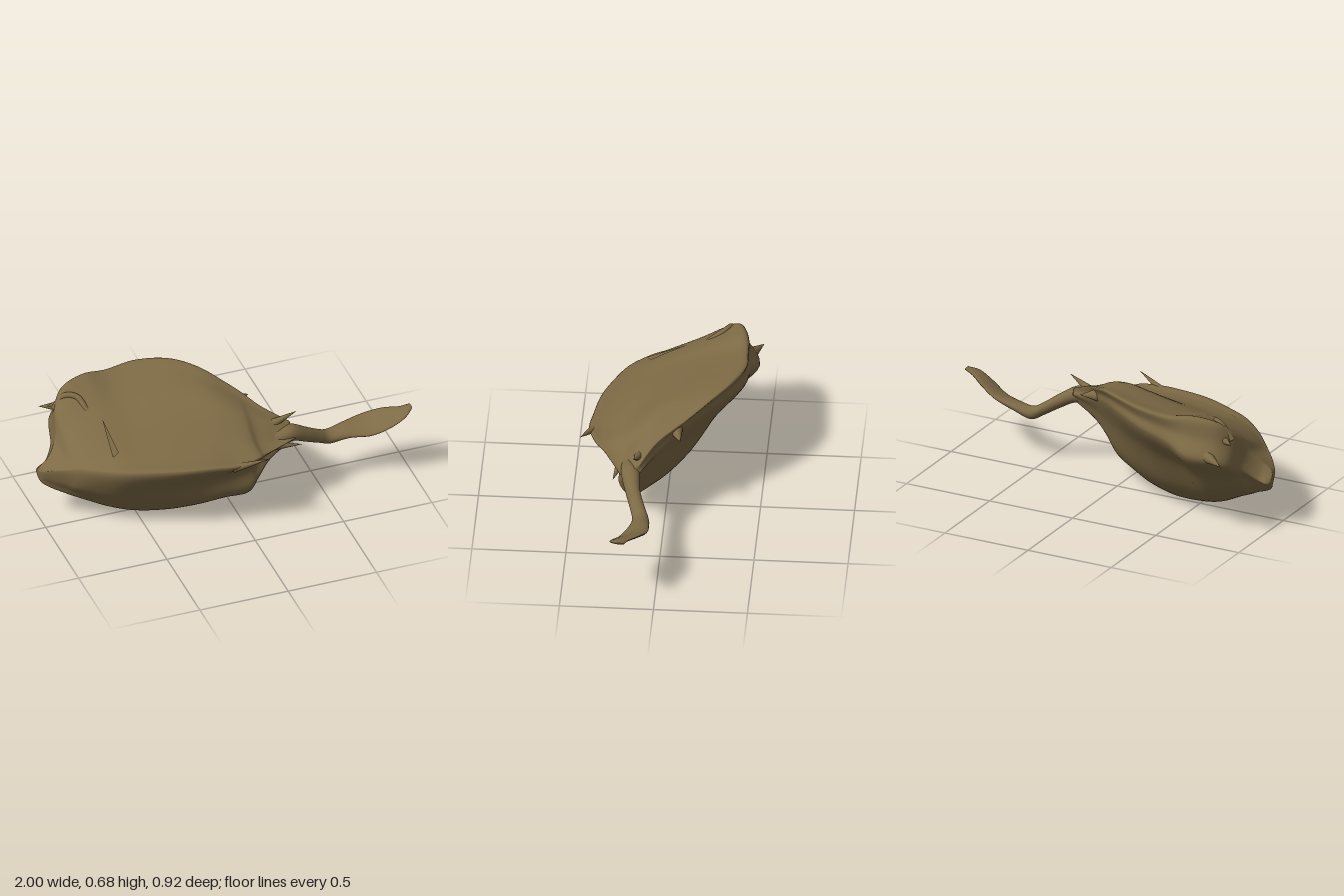
import * as THREE from 'three';

const V = (x, y, z) => new THREE.Vector3(x, y, z);
const hide = new THREE.MeshStandardMaterial({ color: 0x7d6a45, side: THREE.DoubleSide });
hide.name = 'driedHide';

// Skin over matching rings of points, smoothed lengthwise and capped at both ends
function loft(rings, steps) {
  const n = rings[0].length;
  const lines = rings[0].map((_, j) => new THREE.CatmullRomCurve3(rings.map(r => r[j])));
  const pos = [], index = [];
  for (let i = 0; i <= steps; i++) {
    for (const line of lines) pos.push(...line.getPoint(i / steps).toArray());
  }
  for (let i = 0; i < steps; i++) {
    for (let j = 0; j < n; j++) {
      const k = (j + 1) % n, a = i * n + j, c = i * n + k;
      index.push(a, a + n, c, a + n, c + n, c);
    }
  }
  [rings[0], rings[rings.length - 1]].forEach((ring, end) => {
    const mid = ring.reduce((s, p) => s.add(p), V(0, 0, 0)).divideScalar(n);
    const m = pos.length / 3, o = end * steps * n;
    pos.push(mid.x, mid.y, mid.z);
    for (let j = 0; j < n; j++) {
      const a = o + j, b = o + (j + 1) % n;
      index.push(m, end ? b : a, end ? a : b);
    }
  });
  const g = new THREE.BufferGeometry();
  g.setAttribute('position', new THREE.Float32BufferAttribute(pos, 3));
  g.setIndex(index);
  g.computeVertexNormals();
  return g;
}

// Triangular section from its front ridge, top, rear ridge and keel
function bodyRing([x, az, ay, tz, ty, rz, ry, bz, by]) {
  const A = V(x, ay, az), T = V(x, ty, tz), R = V(x, ry, rz), B = V(x, by, bz);
  const s = Math.min(1, A.distanceTo(T) / 0.7);
  // the back sags and swells more toward the tail, the front side goes from full to hollow
  const sag = THREE.MathUtils.clamp(1 + x / 0.8, 0, 1);
  const full = THREE.MathUtils.clamp(-0.03 - 0.1 * x, -0.035, 0.035) * Math.min(1, 2 * s) / s;
  const between = (p, q, t, dy, dz) => p.clone().lerp(q, t).add(V(0, dy * s, dz * s));
  const pts = [
    A, between(A, T, 0.12, -0.024 * sag, 0), between(A, T, 0.26, -0.037 * sag, 0),
    between(A, T, 0.58, 0.035 * sag, 0), between(A, T, 0.85, 0.012, 0), T,
    between(T, R, 0.5, 0, 0.012), R, between(R, B, 0.35, -0.008, -0.008),
    between(R, B, 0.72, -0.04, -0.028),
    B, between(B, A, 0.25, -0.024, 0.018), between(B, A, 0.55, -full * 0.4, full),
  ];
  const curve = new THREE.CatmullRomCurve3(pts, true);
  return Array.from({ length: pts.length * 6 }, (_, i) => curve.getPoint(i / (pts.length * 6)));
}

// Flattened oval section: centre, half depth, half height, slope across the depth
function ovalRing([x, z, y, hz, hy, slope]) {
  return Array.from({ length: 24 }, (_, j) => {
    const a = (j / 24) * Math.PI * 2, dz = hz * Math.cos(a);
    return V(x, y + hy * Math.sin(a) - slope * dz, z + dz);
  });
}

export function createModel() {
  const model = new THREE.Group();
  const add = (name, geometry) => {
    const mesh = new THREE.Mesh(geometry, hide);
    mesh.name = name;
    model.add(mesh);
    return mesh;
  };

  // Body shell, snout to tail root: x, then z and y of each corner
  const body = [
    [-1.0, -0.1, 0.295, -0.12, 0.305, -0.15, 0.27, -0.12, 0.25],
    [-0.985, -0.065, 0.312, -0.11, 0.328, -0.17, 0.27, -0.105, 0.22],
    [-0.94, -0.01, 0.345, -0.12, 0.365, -0.18, 0.29, -0.08, 0.19],
    [-0.885, 0.045, 0.37, -0.17, 0.43, -0.24, 0.35, -0.055, 0.165],
    [-0.845, 0.085, 0.385, -0.28, 0.565, -0.37, 0.42, -0.045, 0.145],
    [-0.78, 0.15, 0.4, -0.34, 0.635, -0.42, 0.445, -0.03, 0.115],
    [-0.65, 0.25, 0.42, -0.38, 0.66, -0.45, 0.46, -0.01, 0.052],
    [-0.52, 0.31, 0.43, -0.395, 0.645, -0.412, 0.5, 0.02, 0.015],
    [-0.35, 0.37, 0.437, -0.4, 0.663, -0.395, 0.545, 0.05, 0.0],
    [-0.18, 0.4, 0.437, -0.34, 0.672, -0.32, 0.57, 0.09, 0.02],
    [-0.05, 0.415, 0.432, -0.245, 0.65, -0.21, 0.555, 0.13, 0.058],
    [0.075, 0.375, 0.432, -0.115, 0.592, -0.085, 0.515, 0.183, 0.093],
    [0.12, 0.33, 0.41, -0.06, 0.57, -0.035, 0.49, 0.185, 0.16],
    [0.2, 0.285, 0.4, 0.04, 0.52, 0.045, 0.445, 0.17, 0.27],
    [0.33, 0.225, 0.4, 0.13, 0.45, 0.115, 0.42, 0.17, 0.355],
  ];
  add('body', loft(body.map(bodyRing), 140));

  // Tail stalk spreading into a thin, tilted fin
  const tail = [
    [0.12, 0.17, 0.375, 0.035, 0.035, 0], [0.25, 0.175, 0.4, 0.048, 0.04, 0],
    [0.33, 0.168, 0.402, 0.05, 0.045, 0], [0.42, 0.15, 0.355, 0.04, 0.042, 0],
    [0.5, 0.12, 0.305, 0.04, 0.037, 0], [0.56, 0.1, 0.275, 0.044, 0.036, 0.05],
    [0.66, 0.103, 0.294, 0.056, 0.028, 0.18], [0.77, 0.127, 0.317, 0.077, 0.02, 0.27],
    [0.87, 0.162, 0.36, 0.073, 0.015, 0.22], [0.95, 0.188, 0.395, 0.047, 0.012, 0.1],
    [1.0, 0.177, 0.415, 0.022, 0.006, 0],
  ];
  add('tail', loft(tail.map(ovalRing), 66));

  // Horns and torn shell points: base, tip, base radius
  const spike = (name, from, to, radius) => {
    const dir = to.clone().sub(from), length = dir.length();
    const g = new THREE.ConeGeometry(radius, length, 14, 4).translate(0, length / 2, 0);
    const mesh = add(name, g);
    mesh.position.copy(from);
    mesh.quaternion.setFromUnitVectors(V(0, 1, 0), dir.normalize());
  };
  spike('frontRidgeHorn', V(-0.08, 0.41, 0.385), V(0.11, 0.475, 0.455), 0.024);
  spike('rearRidgeHorn', V(0.06, 0.53, -0.05), V(0.18, 0.52, -0.085), 0.045);
  spike('lowerEyeHorn', V(-0.72, 0.47, -0.38), V(-0.87, 0.45, -0.46), 0.045);
  spike('upperEyeHorn', V(-0.74, 0.56, -0.29), V(-0.87, 0.53, -0.34), 0.055);
  spike('tailRootPoint', V(0.22, 0.45, 0.13), V(0.365, 0.52, 0.15), 0.028);
  spike('tailRootFrontPoint', V(0.2, 0.385, 0.23), V(0.355, 0.38, 0.262), 0.026);

  // Dried side fins, thin leaf shaped flaps lying against the shell
  const flap = (name, a, b, tip) => {
    const g = new THREE.BufferGeometry().setFromPoints([a, b, tip]);
    g.computeVertexNormals();
    add(name, g);
  };
  flap('upperSideFin', V(-0.675, 0.47, 0.15), V(-0.635, 0.48, 0.13), V(-0.655, 0.575, -0.07));
  flap('lowerSideFin', V(-0.58, 0.22, -0.23), V(-0.52, 0.18, -0.17), V(-0.6, 0.16, -0.175));

  // Brow ridge around the sunken eye
  const brow = new THREE.CatmullRomCurve3([
    V(-0.85, 0.54, -0.29), V(-0.79, 0.61, -0.29), V(-0.73, 0.615, -0.25), V(-0.7, 0.565, -0.17),
  ]);
  add('browRidge', new THREE.TubeGeometry(brow, 20, 0.016, 10));
  return model;
}
